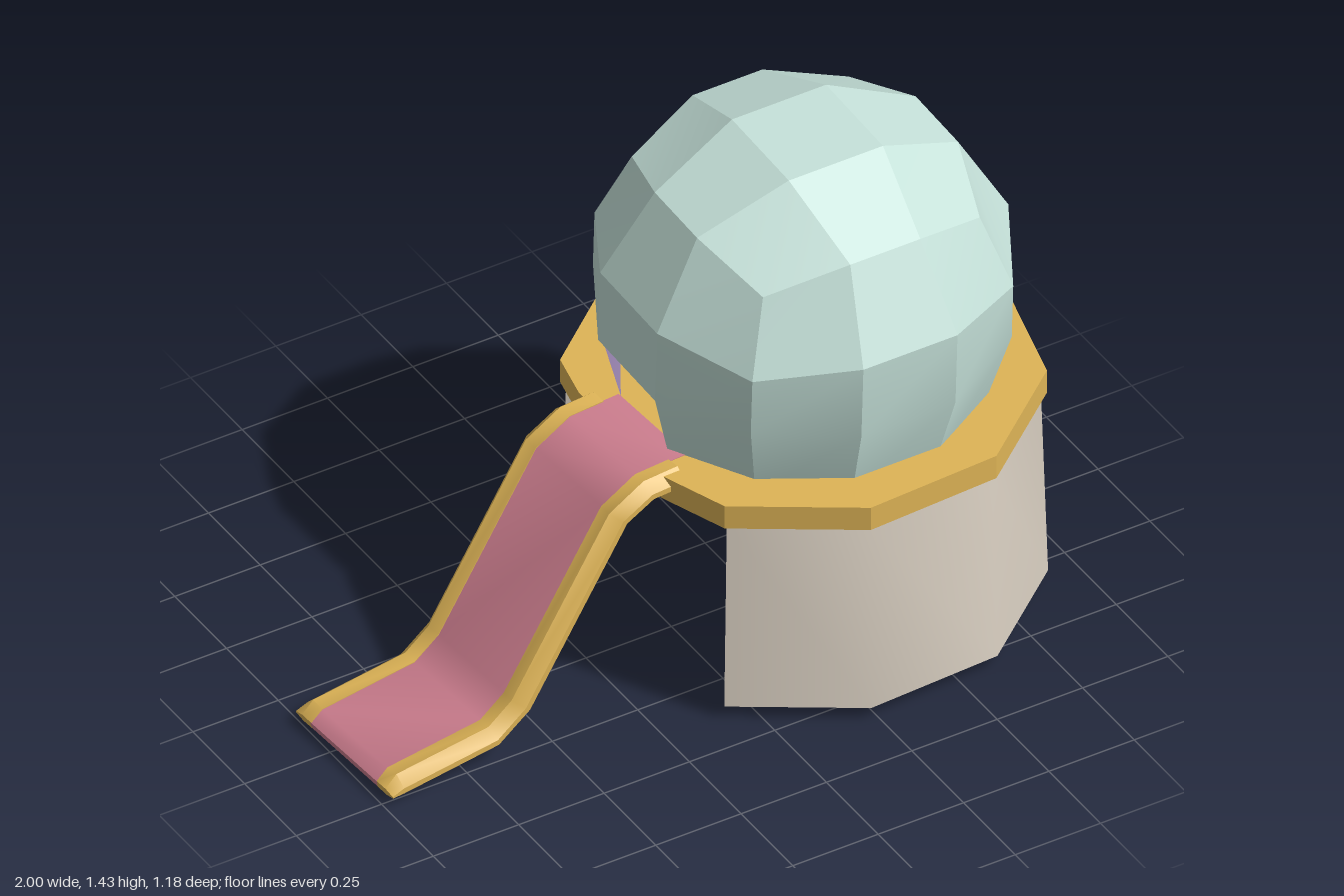
import * as THREE from 'three';
import { toCreasedNormals } from 'three/addons/utils/BufferGeometryUtils.js';

const material = (name, color) => {
  const m = new THREE.MeshStandardMaterial({ color });
  m.name = name;
  return m;
};

// Strip of quads between two rows of points
function loft(a, b) {
  const n = a.length, index = [];
  for (let i = 0; i < n - 1; i++) index.push(i, i + 1, n + i, i + 1, n + i + 1, n + i);
  const g = new THREE.BufferGeometry().setFromPoints([...a, ...b]);
  g.setIndex(index);
  g.computeVertexNormals();
  return g;
}

// Sweep a closed (z, normal) section along a path in the xy plane, capping both ends
function sweep(path, section, scales) {
  const pts = [], index = [], n = section.length, last = path.length - 1;
  path.forEach(([x, y], i) => {
    const p = path[Math.max(i - 1, 0)], q = path[Math.min(i + 1, last)];
    const t = new THREE.Vector2(q[0] - p[0], q[1] - p[1]).normalize();
    for (const [w, h] of section) {
      const k = h * (scales[i] ?? 1);
      pts.push(new THREE.Vector3(x - t.y * k, y + t.x * k, w));
    }
  });
  for (let i = 0; i < last; i++) {
    for (let j = 0; j < n; j++) {
      const a = i * n + j, b = i * n + (j + 1) % n;
      index.push(a, a + n, b, b, a + n, b + n);
    }
  }
  for (let j = 1; j < n - 1; j++) {
    index.push(0, j, j + 1, last * n, last * n + j + 1, last * n + j);
  }
  const g = new THREE.BufferGeometry().setFromPoints(pts);
  g.setIndex(index);
  return toCreasedNormals(g, 0.7);
}

export function createModel() {
  const glass = material('pale teal', 0xc5e1d9);
  const gold = material('gold', 0xdeb456);
  const stone = material('warm beige', 0xdcd2c4);
  const violet = material('violet', 0x9c87b4);
  const rose = material('rose', 0xcf7f90);

  const model = new THREE.Group();
  const add = (name, geometry, mat, parent = model) => {
    const mesh = new THREE.Mesh(geometry, mat);
    mesh.name = name;
    parent.add(mesh);
    return mesh;
  };

  // Plan of the tower as (x, z), open towards the slide
  const plan = [[-0.08, 0.39], [0.23, 0.585], [0.61, 0.565], [0.9, 0.33], [0.995, -0.04],
    [0.86, -0.39], [0.54, -0.59], [0.16, -0.57], [-0.12, -0.34]];
  const CX = 0.4;
  const row = (s, y) => plan.map(([x, z]) => new THREE.Vector3(CX + (x - CX) * s, y, z * s));

  // Tower wall: smooth outside, violet inside, thin rims
  const outLow = row(1.005, 0.04), outHigh = row(0.975, 0.605);
  const inLow = row(0.98, 0.04), inHigh = row(0.95, 0.605);
  const end = plan.length - 1;
  add('wallOutside', loft(outLow, outHigh), stone);
  add('wallInside', loft(inHigh, inLow), violet);
  add('wallBottomRim', loft(inLow, outLow), stone);
  add('wallFrontEnd', loft([inLow[0], outLow[0]], [inHigh[0], outHigh[0]]), stone);
  add('wallBackEnd', loft([outLow[end], inLow[end]], [outHigh[end], inHigh[end]]), stone);

  // Platform plate and the ceiling under it
  const outline = [...plan, [-0.15, -0.2], [-0.15, 0.2]];
  const plate = (s, depth, y) => {
    const shape = new THREE.Shape(outline.map(([x, z]) => new THREE.Vector2(CX + (x - CX) * s, -z * s)));
    const g = new THREE.ExtrudeGeometry(shape, { depth, bevelEnabled: false });
    return g.rotateX(-Math.PI / 2).translate(0, y, 0);
  };
  add('platform', plate(1, 0.07, 0.6), gold);
  add('ceiling', plate(0.94, 0.008, 0.595), violet);

  // Faceted dome: a cube pushed out to a ball, its lower rows gathered onto the platform
  const ball = new THREE.BoxGeometry(2, 2, 2, 3, 3, 3);
  const pos = ball.attributes.position, v = new THREE.Vector3();
  for (let i = 0; i < pos.count; i++) {
    v.fromBufferAttribute(pos, i);
    const level = v.y;
    v.set(...v.toArray().map((c) => Math.tan(c * Math.PI / 4))).normalize().multiplyScalar(0.55);
    const r = Math.hypot(v.x, v.z);
    if (level < -0.9) {
      const k = r > 0.3 ? 0.47 / r : 1;
      v.set(v.x * k, -0.3, v.z * k);
    } else if (level < 0) {
      v.y *= 0.5;
    } else if (level < 0.9) {
      v.y += 0.012;
    } else if (v.y > 0.45) {
      v.y -= 0.02;
    }
    pos.setXYZ(i, v.x, v.y, v.z);
  }

  // Doorway above the slide: leave out the lowest middle panel on that side
  const panels = Array.from(ball.index.array);
  panels.splice(96, 6);
  ball.setIndex(panels);
  const inside = ball.clone();
  inside.setIndex([...panels].reverse());
  inside.scale(0.98, 0.98, 0.98);

  const dome = new THREE.Group();
  dome.name = 'dome';
  dome.position.set(0.385, 0.93, 0);
  dome.rotation.x = 0.045;
  model.add(dome);
  add('domeOutside', toCreasedNormals(ball, 0.33), glass, dome);
  add('domeInside', toCreasedNormals(inside, 0.33), violet, dome);

  // Slide: a bent chute between two bevelled rails
  const slide = new THREE.Group();
  slide.name = 'slide';
  slide.position.z = 0.005;
  slide.rotation.y = 0.055;
  model.add(slide);
  const bend = [[-0.995, 0.032], [-0.96, 0.039], [-0.675, 0.068], [-0.585, 0.135], [-0.29, 0.595], [-0.205, 0.64]];
  const taper = [0.3];
  add('chute', sweep([...bend, [-0.06, 0.642]],
    [[-0.15, -0.03], [0.15, -0.03], [0.15, 0.03], [-0.15, 0.03]], taper), rose, slide);
  const railSection = [[0.145, -0.032], [0.185, -0.036], [0.215, -0.008], [0.215, 0.008], [0.185, 0.036], [0.145, 0.032]];
  const mirrored = railSection.map(([w, h]) => [-w, h]).reverse();
  const railPath = [...bend, [-0.11, 0.642]];
  add('frontRail', sweep(railPath, railSection, taper), gold, slide);
  add('backRail', sweep(railPath, mirrored, taper), gold, slide);

  return model;
}
